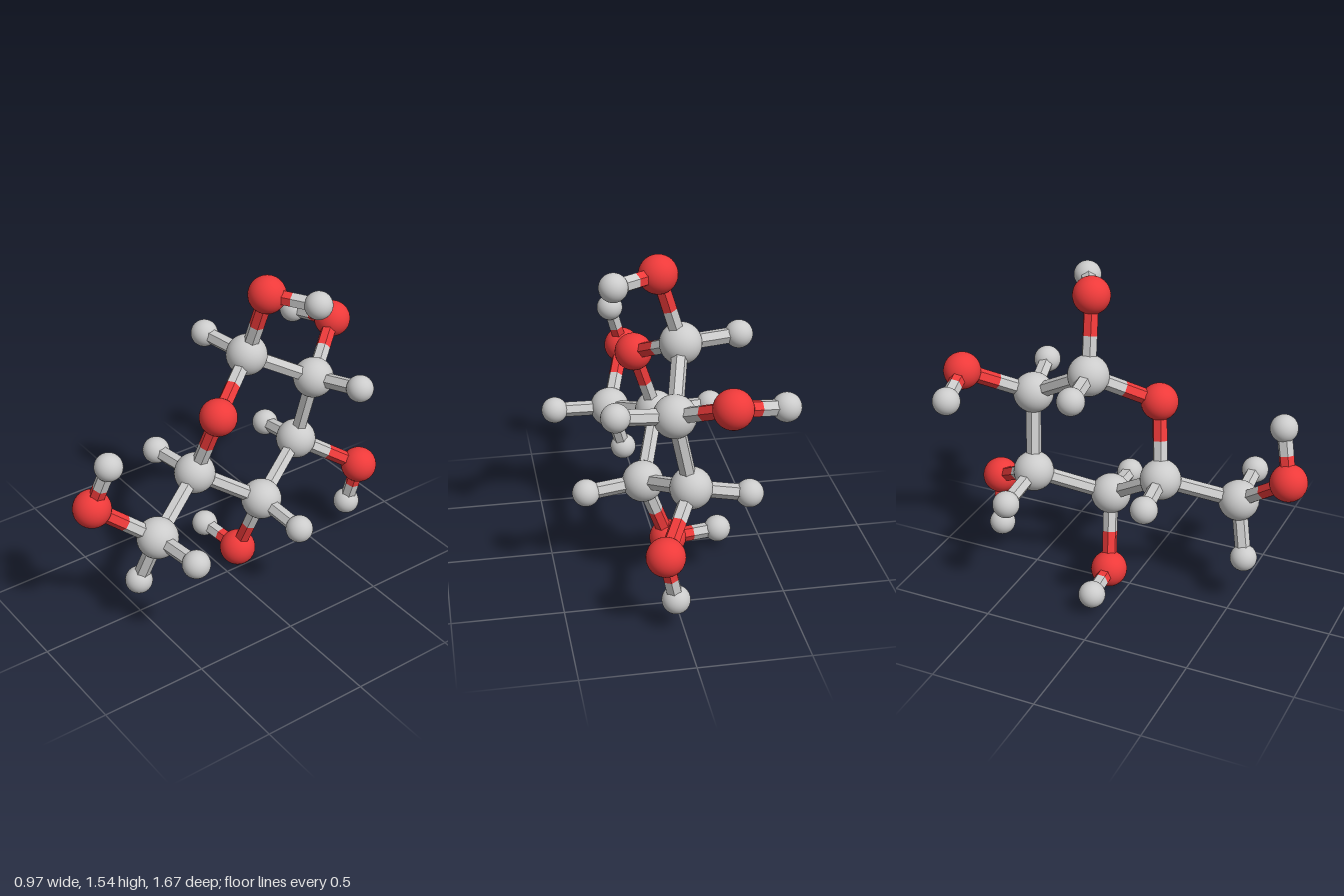
import * as THREE from 'three';

const grey = new THREE.MeshStandardMaterial({ color: 0xcccccc });
const red = new THREE.MeshStandardMaterial({ color: 0xee3a3a });
const greyBond = new THREE.MeshStandardMaterial({ color: 0xcccccc, flatShading: true });
const redBond = new THREE.MeshStandardMaterial({ color: 0xee3a3a, flatShading: true });

const BOND_RADIUS = 0.036;
const kinds = {
  C: { name: 'carbon', radius: 0.095, material: grey, bond: greyBond },
  O: { name: 'oxygen', radius: 0.086, material: red, bond: redBond },
  H: { name: 'hydrogen', radius: 0.063, material: grey, bond: greyBond },
};

// Atom centres; the first letter of the key is the element
const atoms = {
  C1: [-0.08, 1.12, -0.165],
  C2: [0.005, 0.93, -0.49],
  C3: [-0.075, 0.56, -0.46],
  C4: [0.085, 0.43, -0.135],
  C5: [-0.025, 0.635, 0.165],
  C6: [0.147, 0.51, 0.485],
  O1: [0.025, 1.46, -0.195],
  O2: [-0.187, 1.075, -0.75],
  O3: [0.085, 0.39, -0.73],
  O4: [-0.04, 0.09, -0.09],
  O5: [0.085, 0.97, 0.11],
  O6: [0.045, 0.72, 0.75],
  H1: [-0.35, 1.125, -0.12],
  H2: [0.267, 0.975, -0.55],
  H3: [-0.335, 0.515, -0.47],
  H4: [0.35, 0.405, -0.155],
  H5: [-0.293, 0.63, 0.2],
  H6a: [0.42, 0.525, 0.465],
  H6b: [0.073, 0.255, 0.545],
  HO1: [0.235, 1.46, -0.315],
  HO2: [-0.424, 1.04, -0.697],
  HO3: [0.035, 0.155, -0.705],
  HO4: [-0.283, 0.1, -0.065],
  HO6: [0.11, 0.95, 0.695],
};

const bonds = [
  // ring
  ['C1', 'C2'], ['C2', 'C3'], ['C3', 'C4'], ['C4', 'C5'], ['C5', 'O5'], ['O5', 'C1'],
  // side arm
  ['C5', 'C6'], ['C6', 'O6'], ['O6', 'HO6'], ['C6', 'H6a'], ['C6', 'H6b'], ['C5', 'H5'],
];
// Each of the first four carbons carries one hydrogen and one hydroxyl
for (let i = 1; i <= 4; i++) bonds.push([`C${i}`, `H${i}`], [`C${i}`, `O${i}`], [`O${i}`, `HO${i}`]);

// Straight stick between two points
function stick(from, to, material) {
  const dir = to.clone().sub(from);
  const mesh = new THREE.Mesh(
    new THREE.CylinderGeometry(BOND_RADIUS, BOND_RADIUS, dir.length(), 6, 1, true), material);
  mesh.position.copy(from).add(to).multiplyScalar(0.5);
  mesh.quaternion.setFromUnitVectors(new THREE.Vector3(0, 1, 0), dir.normalize());
  return mesh;
}

export function createModel() {
  const model = new THREE.Group();
  model.name = 'molecule';

  // Atom balls
  for (const [key, centre] of Object.entries(atoms)) {
    const { name, radius, material } = kinds[key[0]];
    const ball = new THREE.Mesh(new THREE.SphereGeometry(radius, 32, 20), material);
    ball.name = `${name}Atom${key}`;
    ball.position.set(...centre);
    model.add(ball);
  }

  // Bonds, each half coloured like the atom it touches
  for (const [a, b] of bonds) {
    const start = new THREE.Vector3(...atoms[a]);
    const end = new THREE.Vector3(...atoms[b]);
    const middle = start.clone().lerp(end, 0.5);
    const bond = new THREE.Group();
    bond.name = `bond${a}to${b}`;
    const halves = [stick(start, middle, kinds[a[0]].bond), stick(middle, end, kinds[b[0]].bond)];
    halves.forEach((half, i) => { half.name = i ? 'secondHalf' : 'firstHalf'; });
    bond.add(...halves);
    model.add(bond);
  }
  return model;
}
